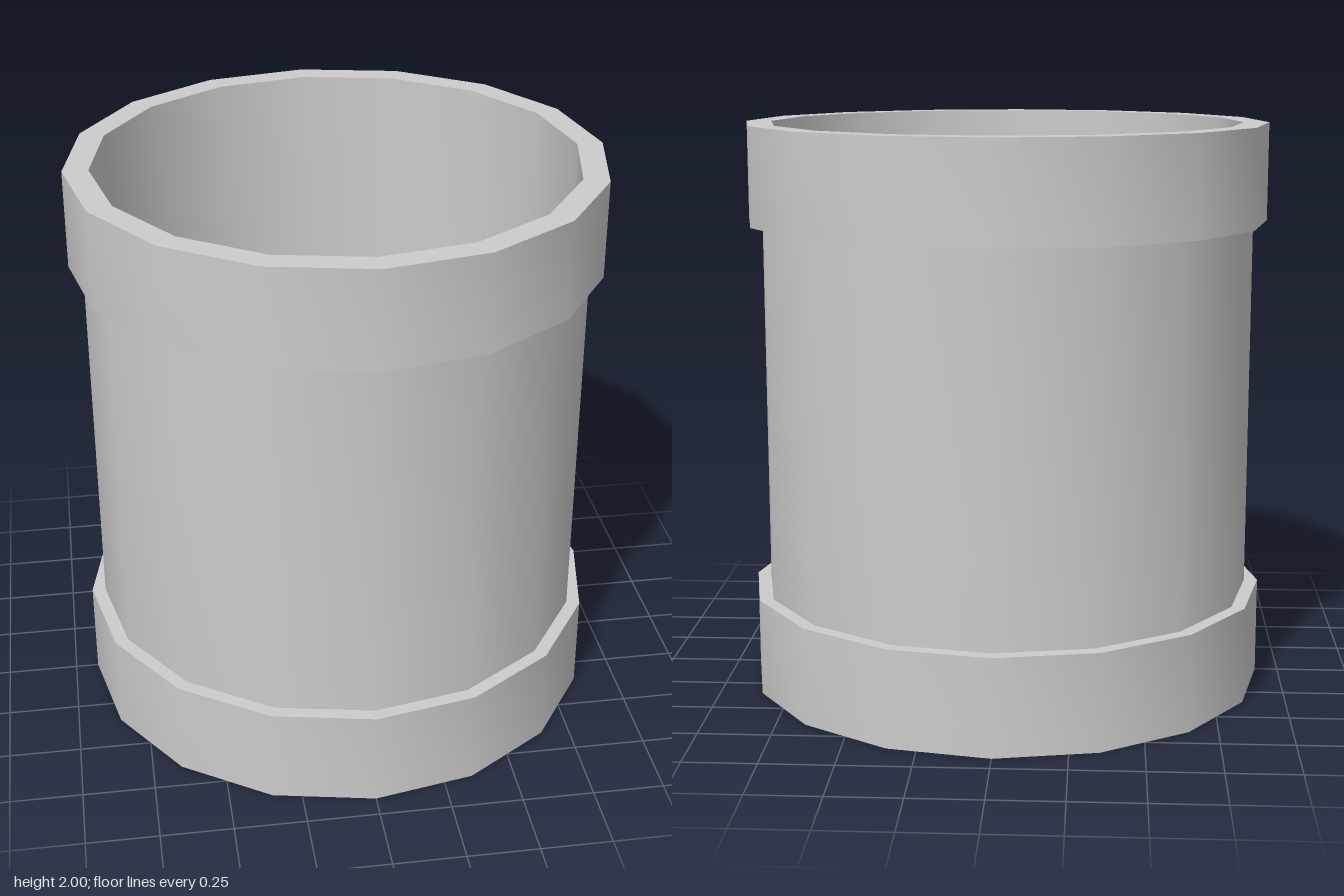
import * as THREE from 'three';
import { toCreasedNormals } from 'three/addons/utils/BufferGeometryUtils.js';

const SIDES = 16;
const HEIGHT = 2;
const COLLAR_HEIGHT = 0.342;
const BORE = 0.83, BODY = 0.871, COLLAR = 0.919;

export function createModel() {
  const group = new THREE.Group();
  group.name = 'pipeSegment';
  const material = new THREE.MeshStandardMaterial({ color: 0xcccccc });

  // Turns a [radius, height] profile; smooth around, sharp at the rims
  function turned(name, profile) {
    const points = profile.map(([r, y]) => new THREE.Vector2(r, y));
    const geometry = toCreasedNormals(new THREE.LatheGeometry(points, SIDES), Math.PI / 4);
    const mesh = new THREE.Mesh(geometry, material);
    mesh.name = name;
    group.add(mesh);
  }

  const low = COLLAR_HEIGHT, high = HEIGHT - COLLAR_HEIGHT;

  // Outer wall between the collars
  turned('body', [[BODY, low], [BODY, high]]);

  // Inner wall, facing the axis
  turned('bore', [[BORE, HEIGHT], [BORE, 0]]);

  // Thicker collars with their end rims and shoulders
  turned('bottomCollar', [[BORE, 0], [COLLAR, 0], [COLLAR, low], [BODY, low]]);
  turned('topCollar', [[BODY, high], [COLLAR, high], [COLLAR, HEIGHT], [BORE, HEIGHT]]);

  return group;
}
